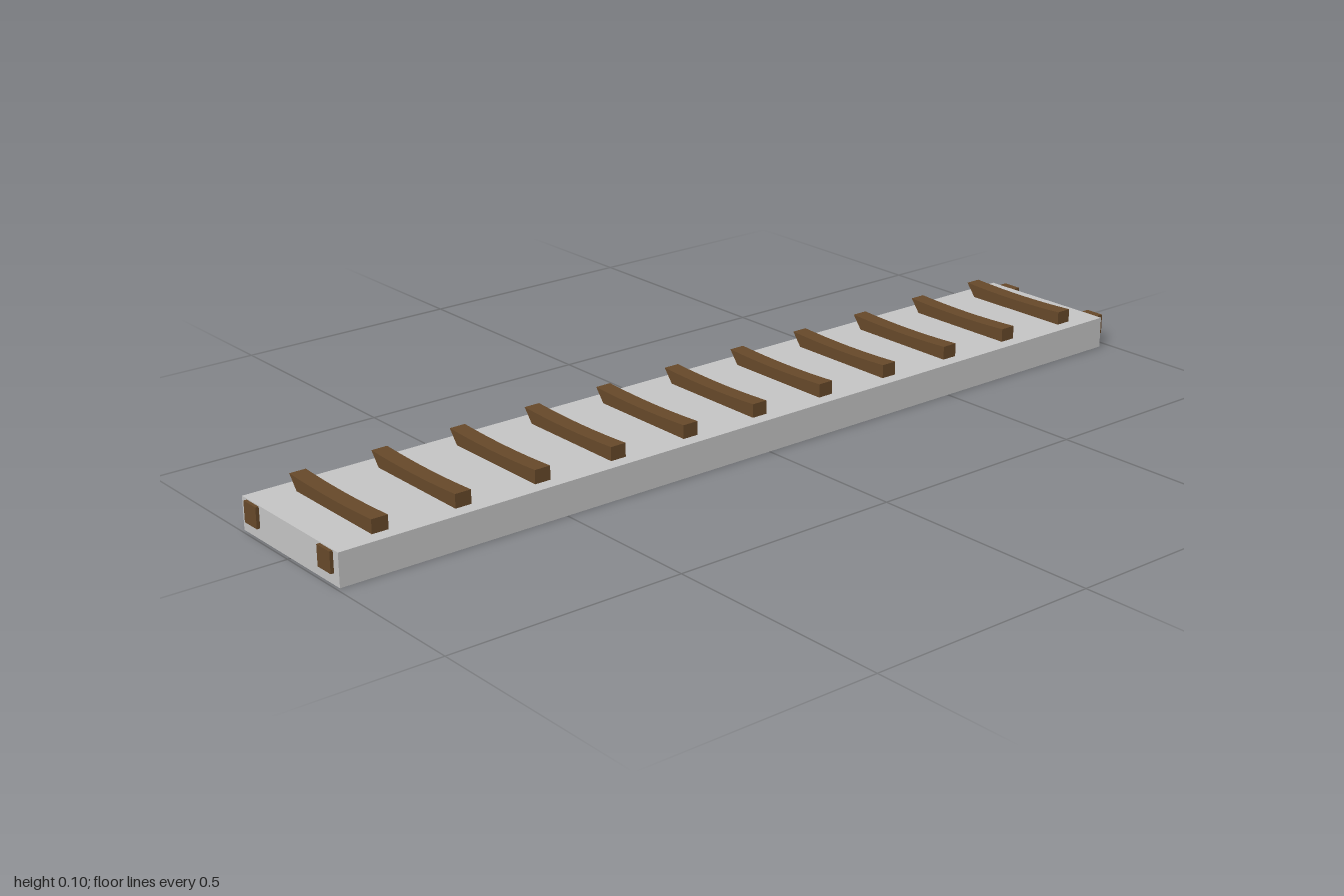
import * as THREE from 'three';

const grey = new THREE.MeshStandardMaterial({ color: 0xc6c6c6 });
grey.name = 'lightGrey';
const brown = new THREE.MeshStandardMaterial({ color: 0x67492a });
brown.name = 'woodBrown';

// Box given by its lower and upper bounds on each axis
function block(name, material, [x0, x1], [y0, y1], [z0, z1]) {
  const mesh = new THREE.Mesh(new THREE.BoxGeometry(x1 - x0, y1 - y0, z1 - z0), material);
  mesh.position.set((x0 + x1) / 2, (y0 + y1) / 2, (z0 + z1) / 2);
  mesh.name = name;
  return mesh;
}

// Cross beam with a sagging top and one undercut corner at its right end
function sleeperGeometry() {
  const width = 0.278, height = 0.029, depth = 0.035;
  const geo = new THREE.BoxGeometry(width, height, depth, 8, 1, 1);
  const p = geo.attributes.position;
  for (let i = 0; i < p.count; i++) {
    const t = p.getX(i) / (width / 2);
    if (p.getY(i) > 0) p.setY(i, p.getY(i) - 0.004 * (1 - t * t));
    else if (t < -0.99 && p.getZ(i) > 0) p.setX(i, p.getX(i) + 0.023);
  }
  const flat = geo.toNonIndexed();
  flat.computeVertexNormals();
  return flat;
}

export function createModel() {
  const model = new THREE.Group();
  model.name = 'walkway';

  model.add(block('slab', grey, [-0.165, 0.165], [0, 0.068], [-0.977, 0.993]));

  // Long beams whose ends project from the slab
  for (const side of [-1, 1]) {
    const x = side * 0.1265;
    model.add(block(side > 0 ? 'leftBeam' : 'rightBeam', brown,
      [x - 0.0215, x + 0.0215], [0.023, 0.066], [-1, 1]));
  }

  // Eleven evenly spaced cross beams
  const geo = sleeperGeometry();
  for (let i = 0; i < 11; i++) {
    const sleeper = new THREE.Mesh(geo, brown);
    sleeper.name = 'crossBeam' + (i + 1);
    sleeper.position.set(-0.003, 0.082, -0.885 + i * 0.1773);
    model.add(sleeper);
  }
  return model;
}
